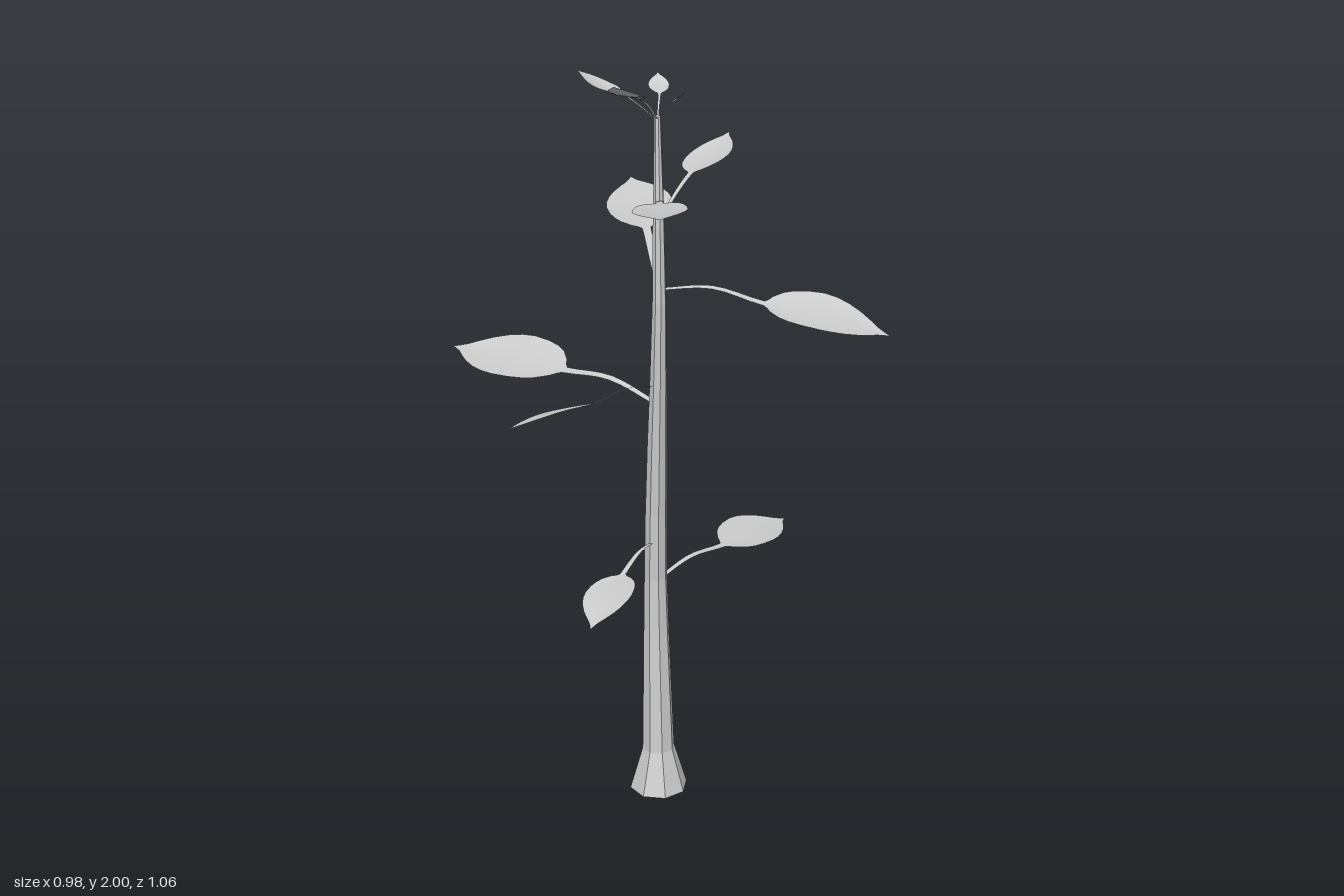
import * as THREE from 'three';

// Trunk rings: height, radius, z of centre
const TRUNK_X = -0.042;
const RINGS = [
  [0, 0.079, 0.076], [0.12, 0.044, 0.075], [0.3, 0.039, 0.064], [0.45, 0.035, 0.054],
  [0.62, 0.031, 0.047], [0.8, 0.029, 0.052], [1.0, 0.026, 0.065], [1.2, 0.022, 0.081],
  [1.4, 0.018, 0.092], [1.6, 0.015, 0.087], [1.87, 0.008, 0.076], [1.875, 0, 0.076],
];

// Leaves: stem start height, stem middle height, blade base, blade tip, blade width,
// sideways tilt (slope, positive lifts the left edge when looking towards the tip)
const LEAVES = [
  [1.43, 1.47, [-0.008, 1.507, -0.19], [0.028, 1.55, -0.532], 0.175, -0.12],
  [1.12, 1.16, [-0.24, 1.15, -0.145], [-0.49, 1.135, -0.44], 0.185, -0.28],
  [0.605, 0.632, [0.18, 0.62, -0.095], [0.408, 0.6, -0.268], 0.15, 0.16],
  [1.605, 1.65, [0.08, 1.68, -0.075], [0.228, 1.735, -0.248], 0.115, -0.12],
  [1.17, 1.18, [-0.215, 1.155, 0.115], [-0.455, 1.13, 0.178], 0.122, 0.4],
  [1.435, 1.447, [0.2, 1.412, 0.195], [0.49, 1.345, 0.318], 0.16, 0.25],
  [0.725, 0.735, [-0.165, 0.712, 0.2], [-0.29, 0.667, 0.391], 0.125, 0.1],
  [1.65, 1.69, [-0.085, 1.712, 0.277], [-0.145, 1.75, 0.53], 0.13, 0.06],
  [1.86, 1.91, [-0.11, 1.937, 0.16], [-0.195, 1.998, 0.277], 0.085, 0],
  [1.86, 1.892, [-0.118, 1.918, 0.028], [-0.217, 1.968, -0.042], 0.072, 0],
  [1.86, 1.888, [-0.022, 1.91, 0.014], [-0.005, 1.943, -0.075], 0.052, 0],
  [1.86, 1.885, [-0.016, 1.903, 0.091], [0.022, 1.942, 0.114], 0.04, 0],
];

// Half-width of the blade along its length, as a fraction of the greatest
const OUTLINE = [
  [0, 0.13], [0.03, 0.24], [0.06, 0.42], [0.14, 0.7], [0.22, 0.85], [0.32, 0.95], [0.45, 1],
  [0.55, 0.96], [0.65, 0.84], [0.75, 0.64], [0.84, 0.39], [0.9, 0.2], [0.95, 0.09], [1, 0],
];

function trunkAt(y) {
  const i = Math.max(1, RINGS.findIndex((r) => r[0] >= y));
  const [a, b] = [RINGS[i - 1], RINGS[i]];
  const k = (y - a[0]) / (b[0] - a[0]);
  return new THREE.Vector3(TRUNK_X, y, a[2] + (b[2] - a[2]) * k);
}

// Eight-sided tapering trunk with a flared foot and a gentle bend
function makeTrunk() {
  const geo = new THREE.CylinderGeometry(1, 1, 1, 8, RINGS.length - 1, true);
  const pos = geo.attributes.position;
  for (let i = 0; i < pos.count; i++) {
    const [y, r, z] = RINGS[Math.round((pos.getY(i) + 0.5) * (RINGS.length - 1))];
    pos.setXYZ(i, TRUNK_X + pos.getX(i) * r, y, z + pos.getZ(i) * r);
  }
  geo.computeVertexNormals();
  const mesh = new THREE.Mesh(geo, new THREE.MeshStandardMaterial({
    color: 0xcccccc, flatShading: true, side: THREE.DoubleSide,
  }));
  mesh.name = 'trunk';
  return mesh;
}

// One thin strip that is a narrow stem first and then widens into the blade
function makeLeaf([startY, midY, base, tip, width, tilt], material) {
  const start = trunkAt(startY);
  const b = new THREE.Vector3(...base);
  const t = new THREE.Vector3(...tip);
  const mid = start.clone().lerp(b, 0.5).setY(midY);
  // Drooping blades arch, rising blades sag
  const bladeMid = b.clone().lerp(t, 0.5);
  bladeMid.y += (b.y - t.y) * 0.15;
  const path = new THREE.CatmullRomCurve3([start, mid, b, bladeMid, t]);

  // Rows along the strip: curve parameter and half-width
  const rows = [];
  for (let i = 0; i < 8; i++) rows.push([i / 16, width * 0.5 * (0.07 + 0.06 * i / 8)]);
  for (const [k, w] of OUTLINE) rows.push([0.5 + k / 2, width * 0.5 * w]);

  const cols = 4;
  const geo = new THREE.PlaneGeometry(1, 1, cols, rows.length - 1);
  const pos = geo.attributes.position;
  const left = new THREE.Vector3();
  rows.forEach(([k, half], r) => {
    const p = path.getPoint(k);
    const d = path.getTangent(k);
    left.set(d.z, 0, -d.x).normalize();
    for (let c = 0; c <= cols; c++) {
      const u = (c / cols) * 2 - 1;
      // Tilt the strip and lift its edges slightly above the midrib
      pos.setXYZ(r * (cols + 1) + c, p.x + left.x * u * half,
        p.y + (tilt * u + 0.12 * u * u) * half, p.z + left.z * u * half);
    }
  });
  geo.computeVertexNormals();
  const mesh = new THREE.Mesh(geo, material);
  mesh.name = 'leaf';
  return mesh;
}

export function createModel() {
  const model = new THREE.Group();
  model.name = 'sapling';
  const leafMaterial = new THREE.MeshStandardMaterial({ color: 0xcccccc, side: THREE.DoubleSide });
  const leaves = new THREE.Group();
  leaves.name = 'leaves';
  for (const spec of LEAVES) leaves.add(makeLeaf(spec, leafMaterial));
  model.add(makeTrunk(), leaves);
  return model;
}
